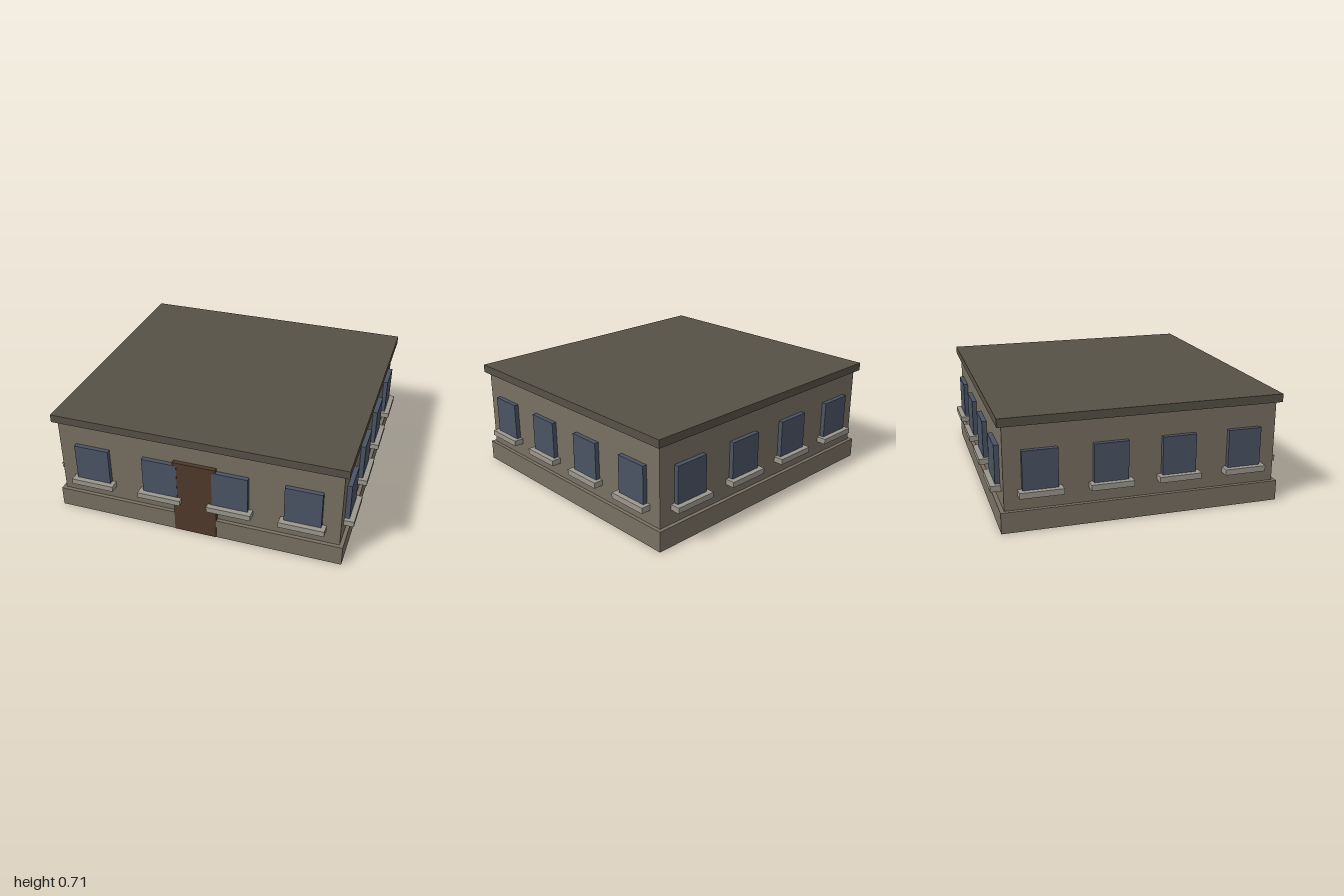
import * as THREE from 'three';

export function createModel() {
  const mat = (name, color) => {
    const m = new THREE.MeshStandardMaterial({ color });
    m.name = name;
    return m;
  };
  const stone = mat('stone', 0x787062);
  const roofing = mat('roofing', 0x565146);
  const glass = mat('glass', 0x4a5364);
  const wood = mat('wood', 0x4f392c);
  const sillStone = mat('sillStone', 0x9c988e);

  // Box placed by its centre in x and z and by its bottom and top in y
  const box = (name, material, w, d, y0, y1, x = 0, z = 0) => {
    const mesh = new THREE.Mesh(new THREE.BoxGeometry(w, y1 - y0, d), material);
    mesh.name = name;
    mesh.position.set(x, (y0 + y1) / 2, z);
    return mesh;
  };

  const model = new THREE.Group();
  model.name = 'building';

  // Main body
  model.add(
    box('plinth', stone, 1.92, 1.79, 0, 0.133),
    box('walls', stone, 1.872, 1.74, 0.133, 0.662),
    box('roof', roofing, 1.932, 1.798, 0.662, 0.715),
    box('door', wood, 0.284, 0.06, 0, 0.53, 0, 0.868),
  );

  // Four windows with sills on each side
  const facades = [
    { name: 'front', turn: 0, wall: 0.87, pitch: 0.468, w: 0.235, sill: 0.29 },
    { name: 'left', turn: 1, wall: 0.936, pitch: 0.435, w: 0.218, sill: 0.27 },
    { name: 'back', turn: 2, wall: 0.87, pitch: 0.468, w: 0.235, sill: 0.29 },
    { name: 'right', turn: 3, wall: 0.936, pitch: 0.435, w: 0.218, sill: 0.27 },
  ];
  for (const f of facades) {
    const side = new THREE.Group();
    side.name = f.name + 'Windows';
    side.rotation.y = (f.turn * Math.PI) / 2;
    for (let i = 0; i < 4; i++) {
      const x = (i - 1.5) * f.pitch;
      side.add(
        box('window', glass, f.w, 0.06, 0.25, 0.508, x, f.wall),
        box('sill', sillStone, f.sill, 0.09, 0.225, 0.262, x, f.wall + 0.019),
      );
    }
    model.add(side);
  }
  return model;
}
